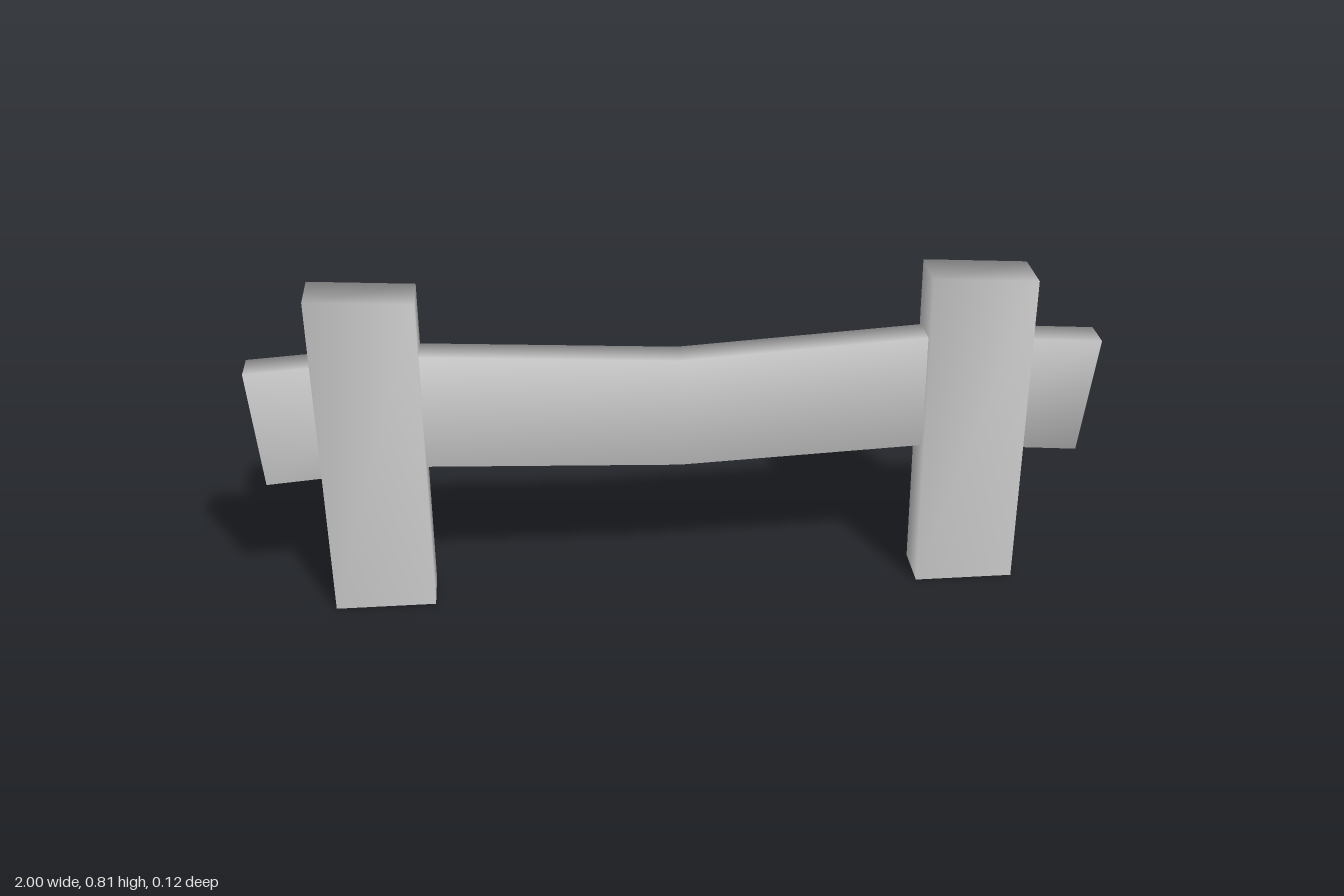
import * as THREE from 'three';
import { mergeVertices } from 'three/addons/utils/BufferGeometryUtils.js';

const wood = new THREE.MeshStandardMaterial({ color: 0xcccccc, side: THREE.DoubleSide });
wood.name = 'plain grey';

// Weld the corners so shading runs smoothly round the edges
function soften(geometry) {
  geometry.deleteAttribute('normal');
  geometry.deleteAttribute('uv');
  const welded = mergeVertices(geometry, 1e-4);
  welded.clearGroups();
  welded.computeVertexNormals();
  return welded;
}

function addPart(group, name, geometry) {
  const mesh = new THREE.Mesh(soften(geometry), wood);
  mesh.name = name;
  group.add(mesh);
}

// Upright post: slanted top, slightly flared left side, open underneath
function postGeometry(x) {
  const g = new THREE.BoxGeometry(1, 1, 0.117);
  const index = Array.from(g.index.array);
  index.splice(18, 6); // remove the bottom face
  g.setIndex(index);
  const p = g.attributes.position;
  for (let i = 0; i < p.count; i++) {
    const left = p.getX(i) < 0;
    const top = p.getY(i) > 0;
    p.setX(i, x + (left ? (top ? -0.125 : -0.117) : 0.123));
    p.setY(i, top ? (left ? 0.815 : 0.8) : 0);
  }
  return g;
}

// Sagging rail: [top x, top y, bottom x, bottom y] from one end to the other
function railGeometry() {
  const sections = [
    [-1, 0.633, -0.975, 0.343],
    [-0.6, 0.658, -0.6, 0.373],
    [0, 0.623, 0, 0.348],
    [0.6, 0.658, 0.6, 0.373],
    [1, 0.631, 0.965, 0.343],
  ];
  const g = new THREE.BoxGeometry(4, 1, 0.078, 4, 1, 1);
  const p = g.attributes.position;
  for (let i = 0; i < p.count; i++) {
    const s = sections[Math.round(p.getX(i)) + 2];
    const o = p.getY(i) > 0 ? 0 : 2;
    p.setX(i, s[o]);
    p.setY(i, s[o + 1]);
  }
  return g;
}

export function createModel() {
  const group = new THREE.Group();
  group.name = 'fence';
  addPart(group, 'rightPost', postGeometry(-0.723));
  addPart(group, 'leftPost', postGeometry(0.706));
  addPart(group, 'rail', railGeometry());
  return group;
}
